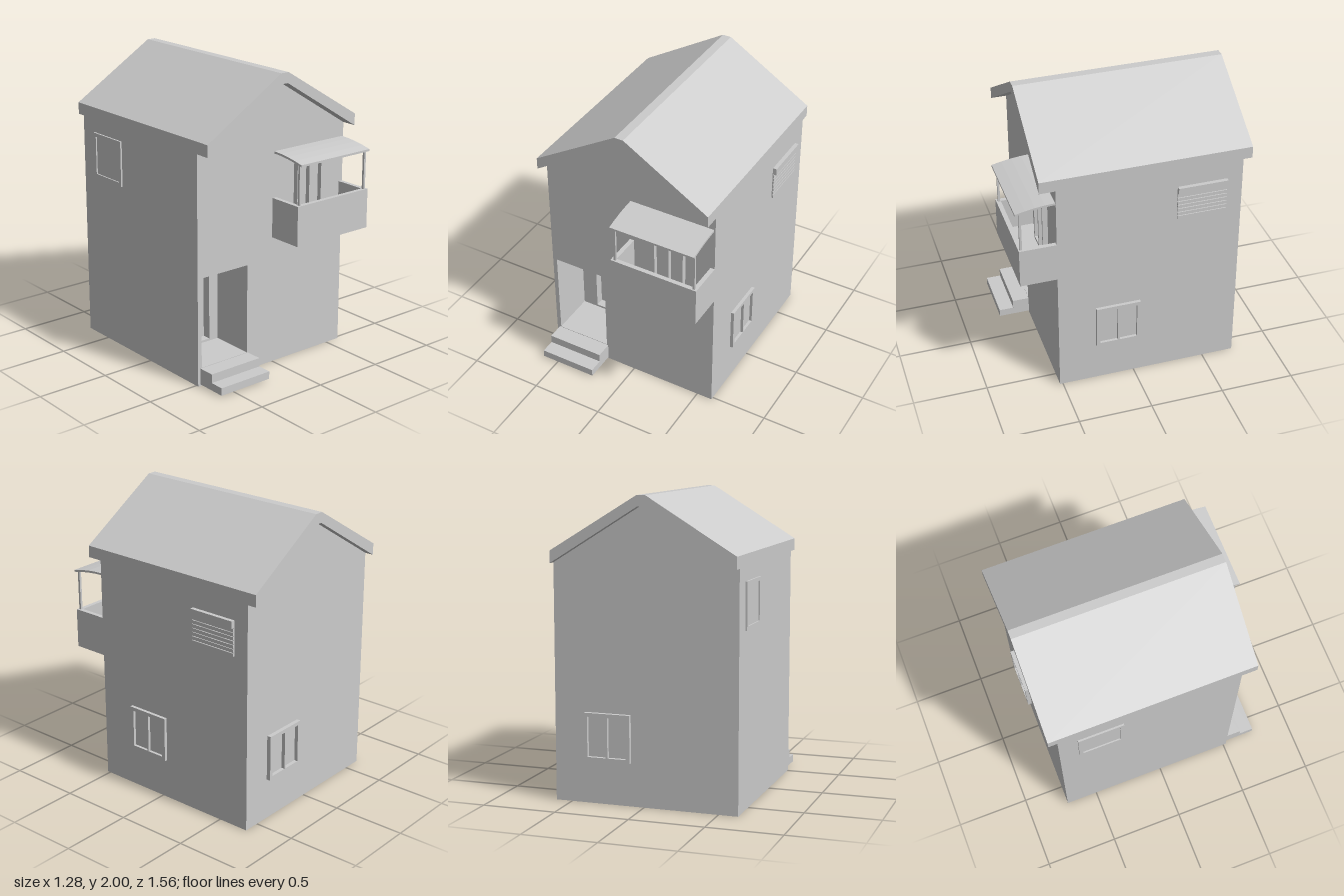
import * as THREE from 'three';

const material = new THREE.MeshStandardMaterial({ color: 0xcccccc, flatShading: true });

function mesh(name, geometry) {
  const m = new THREE.Mesh(geometry, material);
  m.name = name;
  return m;
}

// Box given by its limits on each axis
function box(name, x0, x1, y0, y1, z0, z1) {
  const m = mesh(name, new THREE.BoxGeometry(x1 - x0, y1 - y0, z1 - z0));
  m.position.set((x0 + x1) / 2, (y0 + y1) / 2, (z0 + z1) / 2);
  return m;
}

const rect = (x0, x1, y0, y1) => [[x0, y0], [x1, y0], [x1, y1], [x0, y1]];
const toPoints = (list) => list.map(([x, y]) => new THREE.Vector2(x, y));

// Outline with optional holes, extruded from z0 to z1
function slab(name, outline, holes, z0, z1) {
  const shape = new THREE.Shape(toPoints(outline));
  for (const hole of holes) shape.holes.push(new THREE.Path(toPoints(hole)));
  const g = new THREE.ExtrudeGeometry(shape, { depth: z1 - z0, bevelEnabled: false });
  return mesh(name, g.translate(0, 0, z0));
}

// Framed window facing +z, centred on its own origin, with recessed panes
function makeWindow(name, w, h, depth, panes, border = 0.025, mullion = 0.012) {
  const group = new THREE.Group();
  group.name = name;
  const inner = w - 2 * border;
  const paneWidth = (inner - mullion * (panes - 1)) / panes;
  const holes = [];
  for (let i = 0; i < panes; i++) {
    const x = -inner / 2 + i * (paneWidth + mullion);
    holes.push(rect(x, x + paneWidth, -h / 2 + border, h / 2 - border));
  }
  group.add(slab(name + 'Frame', rect(-w / 2, w / 2, -h / 2, h / 2), holes, 0, depth));
  group.add(box(name + 'Glass', -inner / 2, inner / 2, -h / 2 + border, h / 2 - border, -0.01, 0.003));
  return group;
}

function place(object, x, y, z, turn = 0) {
  object.position.set(x, y, z);
  object.rotation.y = turn;
  return object;
}

export function createModel() {
  const house = new THREE.Group();
  house.name = 'house';
  const L = -0.63, R = 0.61, FRONT = 0.52, BACK = -0.72;

  // Walls: three slices, so the porch and its door are real recesses
  const eaves = [[R, 1.56], [0.015, 1.93], [-0.035, 1.93], [L, 1.56]];
  const gable = [[L, 0], [R, 0], ...eaves];
  const porch = rect(-0.6, -0.22, 0.125, 0.74);
  const doorway = rect(-0.49, -0.29, 0.14, 0.625);
  house.add(
    slab('mainWalls', gable, [], BACK, 0.15),
    slab('doorSurround', gable, [doorway], 0.15, 0.21),
    slab('frontWalls', gable, [porch], 0.21, FRONT),
  );

  // Roof
  const roof = [[R, 1.56], [R, 1.64], [0.02, 2], [-0.04, 2], [L, 1.64], [L, 1.56], [-0.035, 1.93], [0.015, 1.93]];
  house.add(slab('roof', roof, [], -0.78, 0.625));

  // Entrance steps
  const steps = slab('entranceSteps', [[FRONT, 0.01], [0.735, 0.01], [0.735, 0.062],
    [0.635, 0.062], [0.635, 0.122], [FRONT, 0.122]], [], 0.21, 0.61);
  steps.rotation.y = -Math.PI / 2;
  house.add(steps);

  // Balcony: floor, parapets, posts
  const balcony = new THREE.Group();
  balcony.name = 'balcony';
  balcony.add(
    box('balconyFloor', -0.01, R, 0.885, 0.93, FRONT, 0.765),
    box('frontParapet', -0.01, R, 0.93, 1.155, 0.735, 0.765),
    box('rightParapet', -0.01, 0.02, 0.93, 1.155, FRONT, 0.735),
    box('leftParapet', R - 0.03, R, 0.93, 1.155, FRONT, 0.735),
  );
  for (const x of [0.01, 0.58]) balcony.add(box('awningPost', x, x + 0.015, 1.155, 1.425, 0.74, 0.755));

  // Curved awning, its section swept along x
  const curve = [[0.52, 1.467], [0.585, 1.464], [0.65, 1.457], [0.715, 1.446], [0.78, 1.432]];
  const under = curve.map(([z, y]) => [z, y - 0.014]).reverse();
  const awning = slab('awning', [...curve, ...under], [], -0.6, 0);
  awning.rotation.y = -Math.PI / 2;
  balcony.add(awning);

  // Balcony door
  balcony.add(place(makeWindow('balconyDoor', 0.225, 0.425, 0.035, 2, 0.016, 0.016), 0.287, 1.1425, FRONT));
  house.add(balcony);

  // Windows
  house.add(
    place(makeWindow('leftWindow', 0.305, 0.31, 0.022, 2), R, 0.435, 0.112, Math.PI / 2),
    place(makeWindow('backWindow', 0.315, 0.315, 0.028, 2), 0.245, 0.443, BACK, Math.PI),
    place(makeWindow('rightWindow', 0.31, 0.31, 0.012, 1), L, 1.315, -0.435, -Math.PI / 2),
  );

  // Roller shutter with its housing and slats
  const shutter = new THREE.Group();
  shutter.name = 'shutter';
  shutter.add(
    box('shutterHousing', R, 0.637, 1.387, 1.435, -0.615, -0.28),
    box('shutterBacking', R, 0.614, 1.195, 1.387, -0.615, -0.28),
  );
  const slats = 7, pitch = 0.192 / slats;
  for (let i = 0; i < slats; i++) {
    const y = 1.195 + i * pitch;
    shutter.add(box('shutterSlat', R, 0.621, y, y + pitch * 0.8, -0.615, -0.28));
  }
  house.add(shutter);

  return house;
}
